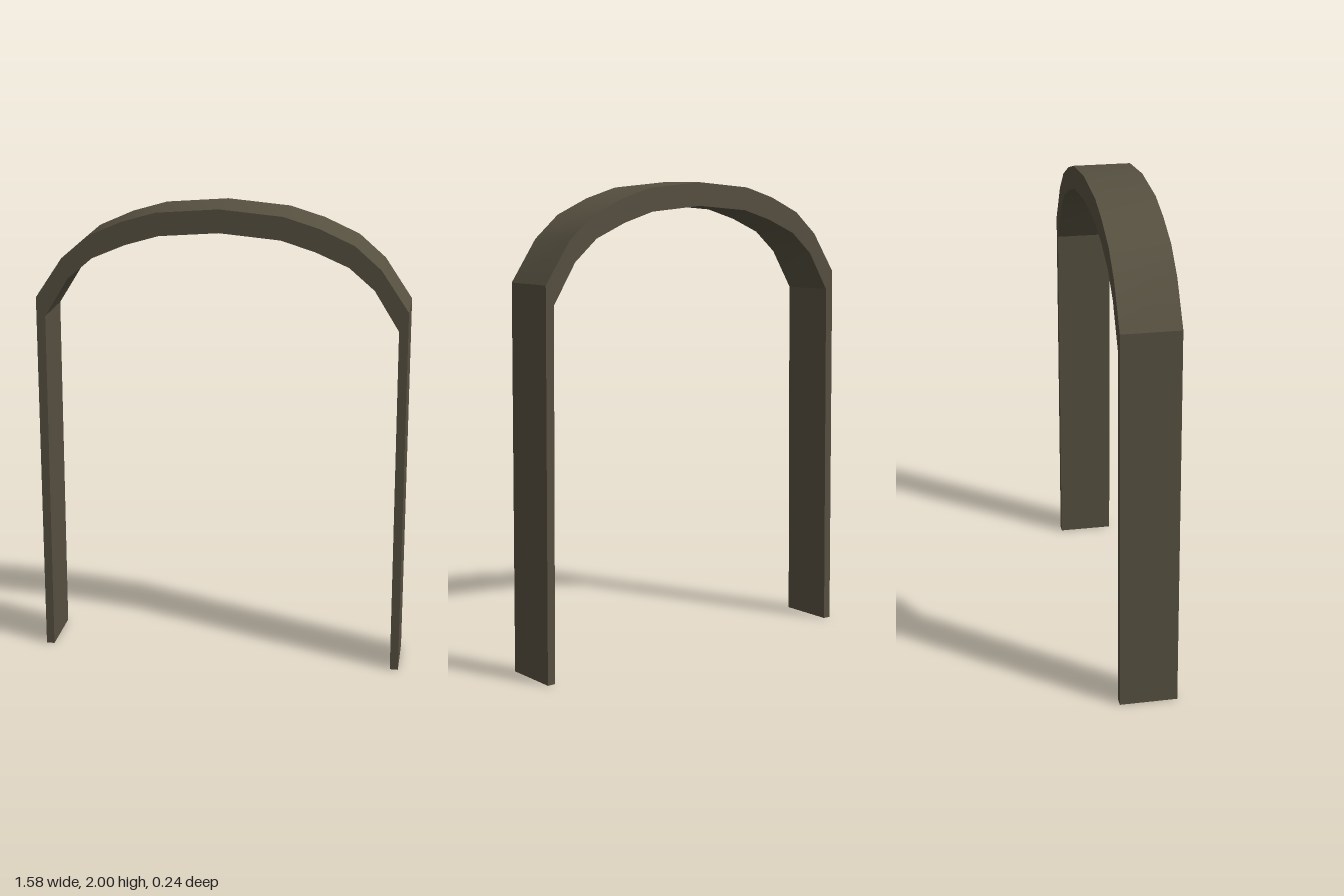
import * as THREE from 'three';
import { toCreasedNormals } from 'three/addons/utils/BufferGeometryUtils.js';

export function createModel() {
  const group = new THREE.Group();
  group.name = 'archway';
  const material = new THREE.MeshStandardMaterial({ color: 0x565040 });
  material.name = 'dark olive';

  // Right half of the frame, from the foot up to the crown
  const outer = [[0.79, 0], [0.775, 1.605], [0.66, 1.775], [0.55, 1.87], [0.405, 1.935], [0.26, 1.978], [0, 2]];
  const inner = [[0.755, 0], [0.738, 1.525], [0.635, 1.69], [0.53, 1.78], [0.39, 1.84], [0.25, 1.882], [0, 1.903]];

  // Mirror a half profile into a full foot-to-foot line
  const mirrored = (half) => [
    ...half,
    ...half.slice(0, -1).reverse().map(([x, y]) => [-x, y]),
  ].map(([x, y]) => new THREE.Vector2(x, y));

  // Arched band with two legs, extruded through its depth
  const depth = 0.24;
  const shape = new THREE.Shape([...mirrored(outer), ...mirrored(inner).reverse()]);
  const geometry = new THREE.ExtrudeGeometry(shape, { depth, bevelEnabled: false });
  geometry.translate(0, 0, -depth / 2);

  // Smooth along the curve, sharp where the legs meet it
  const arch = new THREE.Mesh(toCreasedNormals(geometry, THREE.MathUtils.degToRad(28)), material);
  arch.name = 'archFrame';
  group.add(arch);
  return group;
}
